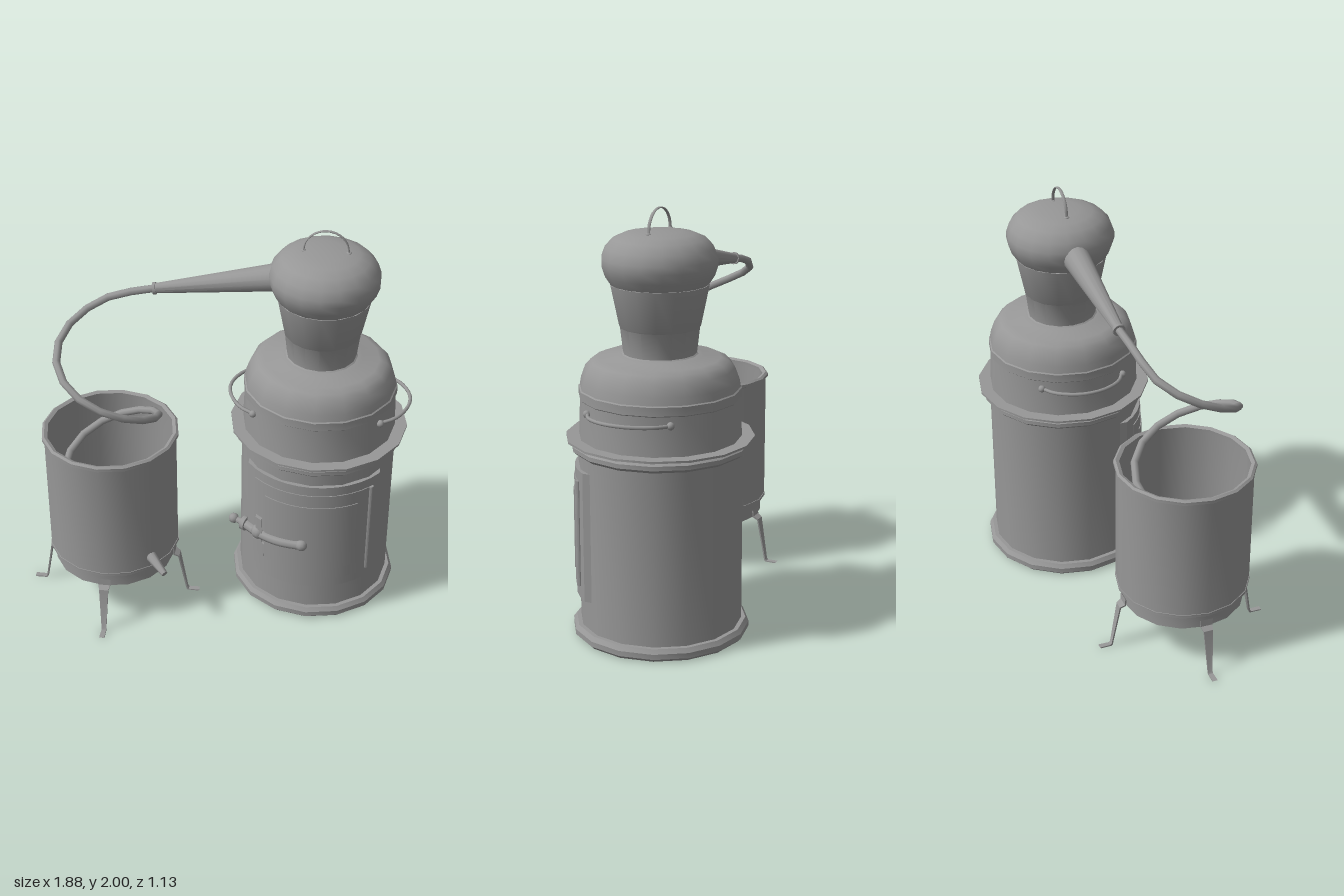
import * as THREE from 'three';
import { toCreasedNormals } from 'three/addons/utils/BufferGeometryUtils.js';

const material = new THREE.MeshStandardMaterial({ color: 0x979797, side: THREE.DoubleSide });
const V = (x, y, z) => new THREE.Vector3(x, y, z);

function add(parent, name, geometry, crease = 0.6) {
  const mesh = new THREE.Mesh(crease ? toCreasedNormals(geometry, crease) : geometry, material);
  mesh.name = name;
  parent.add(mesh);
  return mesh;
}

// Turned part from [radius, height] pairs
function turned(parent, name, profile, sides = 16) {
  const points = profile.map(([r, y]) => new THREE.Vector2(r, y));
  return add(parent, name, new THREE.LatheGeometry(points, sides));
}

function tube(parent, name, points, radius, steps, sides = 8) {
  return add(parent, name, new THREE.TubeGeometry(new THREE.CatmullRomCurve3(points), steps, radius, sides), 0);
}

// Straight, optionally tapered rod between two points
function rod(parent, name, a, b, ra, rb = ra, sides = 12) {
  const dir = b.clone().sub(a);
  const mesh = add(parent, name, new THREE.CylinderGeometry(rb, ra, dir.length(), sides));
  mesh.position.copy(a).add(b).multiplyScalar(0.5);
  mesh.quaternion.setFromUnitVectors(V(0, 1, 0), dir.normalize());
  return mesh;
}

function ball(parent, name, p, r) {
  const mesh = add(parent, name, new THREE.SphereGeometry(r, 10, 8), 0);
  mesh.position.copy(p);
  return mesh;
}

// Slab curved round the furnace, between two x positions and two heights, with sides cut straight back
function curvedPanel(parent, name, r, x0, x1, y0, y1) {
  const n = 12;
  const arc = (radius) => {
    const a0 = Math.asin(x0 / radius), a1 = Math.asin(x1 / radius);
    return Array.from({ length: n + 1 }, (_, i) => {
      const a = a0 + (a1 - a0) * i / n;
      return new THREE.Vector2(radius * Math.sin(a), -radius * Math.cos(a));
    });
  };
  const shape = new THREE.Shape([...arc(r), ...arc(0.365).reverse()]);
  const geo = new THREE.ExtrudeGeometry(shape, { depth: y1 - y0, bevelEnabled: false });
  geo.rotateX(-Math.PI / 2);
  add(parent, name, geo).position.y = y0;
}

function buildStill() {
  const still = new THREE.Group();
  still.name = 'still';
  still.position.set(0.485, 0, -0.131);

  // Furnace, hollow underneath, with rolled rings at foot and top
  turned(still, 'furnace', [[0, 0.16], [0.36, 0.16], [0.36, 0.01], [0.40, 0], [0.415, 0.015], [0.415, 0.04],
    [0.40, 0.06], [0.38, 0.06], [0.38, 0.885], [0.395, 0.89], [0.412, 0.905], [0.412, 0.925], [0.395, 0.94],
    [0.37, 0.945]]);
  turned(still, 'flange', [[0.36, 0.945], [0.435, 0.945], [0.435, 0.955], [0.36, 0.955]]);

  // Pot and its domed shoulder
  turned(still, 'pot', [[0.375, 0.95], [0.368, 1.135], [0.374, 1.14], [0.374, 1.18], [0.368, 1.185], [0.362, 1.22],
    [0.342, 1.275], [0.315, 1.305], [0.28, 1.32], [0.2, 1.328], [0.185, 1.335], [0.15, 1.335]]);

  // Flared neck and bulbous head
  turned(still, 'neck', [[0.19, 1.325], [0.168, 1.34], [0.182, 1.46], [0.186, 1.465], [0.225, 1.655], [0.2, 1.66]]);
  turned(still, 'head', [[0.2, 1.652], [0.222, 1.656], [0.248, 1.695], [0.263, 1.74], [0.263, 1.775], [0.247, 1.82],
    [0.21, 1.86], [0.16, 1.882], [0.1, 1.892], [0, 1.896]], 18);

  // Strap handle on the head
  const arch = [];
  for (let i = 0; i <= 8; i++) {
    const a = Math.PI * i / 8;
    arch.push(V(-0.105 * Math.cos(a), 1.893 + 0.103 * Math.sin(a), 0));
  }
  tube(still, 'headHandle', arch, 0.004, 16).scale.z = 2;
  for (const s of [-1, 1]) ball(still, 'headHandleFoot', V(0.105 * s, 1.89, 0), 0.013).scale.y = 0.5;

  // Side handles on the pot
  for (const s of [-1, 1]) {
    tube(still, 'potHandle', [V(0.295 * s, 1.095, -0.21), V(0.37 * s, 1.1, -0.165), V(0.424 * s, 1.104, -0.08),
      V(0.44 * s, 1.106, 0), V(0.424 * s, 1.104, 0.08), V(0.37 * s, 1.1, 0.165), V(0.295 * s, 1.095, 0.21)], 0.009, 16);
    for (const z of [-0.21, 0.21]) ball(still, 'potHandleMount', V(0.305 * s, 1.097, z), 0.018);
  }

  // Fire door: frame, leaf, raised centre and hinge bar
  curvedPanel(still, 'doorFrame', 0.394, -0.32, 0.32, 0.2, 0.82);
  curvedPanel(still, 'doorLeaf', 0.398, -0.28, 0.28, 0.25, 0.77);
  curvedPanel(still, 'doorCentre', 0.402, -0.225, 0.225, 0.32, 0.7);
  rod(still, 'doorHinge', V(0.283, 0.26, 0.275), V(0.283, 0.77, 0.275), 0.013);

  // Door latch: plate, keeper, lever and knob
  curvedPanel(still, 'latchPlate', 0.408, -0.285, -0.225, 0.32, 0.4);
  curvedPanel(still, 'latchKeeper', 0.415, -0.272, -0.24, 0.34, 0.55);
  tube(still, 'latchLever', [V(-0.32, 0.43, 0.235), V(-0.25, 0.445, 0.31), V(-0.15, 0.455, 0.37),
    V(-0.03, 0.465, 0.4)], 0.025, 10);
  ball(still, 'latchLeverEnd', V(-0.035, 0.466, 0.4), 0.03);
  ball(still, 'latchPivot', V(-0.255, 0.45, 0.3), 0.04);
  rod(still, 'latchStem', V(-0.3, 0.43, 0.24), V(-0.39, 0.43, 0.19), 0.024, 0.014);
  ball(still, 'latchKnob', V(-0.395, 0.432, 0.19), 0.026);
  rod(still, 'latchCollar', V(-0.325, 0.43, 0.226), V(-0.345, 0.43, 0.215), 0.038);
  return still;
}

function buildCooler() {
  const cooler = new THREE.Group();
  cooler.name = 'cooler';
  cooler.position.set(-0.51, 0, 0.134);

  // Open vat with a stepped base and rolled rim
  turned(cooler, 'vat', [[0, 0.24], [0.304, 0.24], [0.304, 0.315], [0.325, 0.32], [0.325, 0.965], [0.336, 0.97],
    [0.336, 0.985], [0.325, 0.993], [0.308, 0.985], [0.31, 0.965], [0.31, 0.335], [0.29, 0.32], [0.29, 0.26], [0, 0.26]]);
  turned(cooler, 'baseBand', [[0.3, 0.315], [0.328, 0.32], [0.328, 0.335], [0.3, 0.34]]);

  // Four strap legs, tapering down to turned-out feet
  const path = [[0.305, 0.28], [0.307, 0.245], [0.33, 0.23], [0.369, 0.01], [0.375, 0.003], [0.43, 0.003]];
  const widths = [0.032, 0.03, 0.023, 0.012, 0.012, 0.013];
  for (let k = 0; k < 4; k++) {
    const pos = [], index = [];
    path.forEach(([r, y], i) => {
      const w = widths[i], t = 0.003;
      pos.push(r - t, y - t, -w, r - t, y - t, w, r + t, y + t, w, r + t, y + t, -w);
      for (let j = 0; i && j < 4; j++) {
        const a = (i - 1) * 4 + j, b = (i - 1) * 4 + (j + 1) % 4;
        index.push(a, b, a + 4, b, b + 4, a + 4);
      }
    });
    const e = (path.length - 1) * 4;
    index.push(0, 2, 1, 0, 3, 2, e, e + 1, e + 2, e, e + 2, e + 3);
    const geo = new THREE.BufferGeometry();
    geo.setAttribute('position', new THREE.Float32BufferAttribute(pos, 3));
    geo.setIndex(index);
    add(cooler, 'leg', geo).rotation.y = k * Math.PI / 2;
  }

  // Outlet spout
  rod(cooler, 'spout', V(0.2, 0.4, 0.2), V(0.305, 0.35, 0.305), 0.032, 0.016);
  return cooler;
}

export function createModel() {
  const model = new THREE.Group();
  model.name = 'distillery';
  model.add(buildStill(), buildCooler());

  // Tapered vapour arm with its joint
  const joint = V(-0.32, 1.637, -0.124);
  rod(model, 'vapourArm', V(0.3, 1.745, -0.131), joint, 0.07, 0.024, 16);
  rod(model, 'armJoint', joint.clone().add(V(-0.006, -0.001, 0)), joint.clone().add(V(0.008, 0.001, 0)), 0.03);

  // Condenser coil winding down into the vat and out to the spout
  const coil = [joint];
  const turns = 1.625, steps = 26;
  for (let i = 0; i <= steps; i++) {
    const a = 2 * Math.PI * turns * i / steps;
    coil.push(V(-0.51 - 0.238 * Math.sin(a), 1.598 - 0.69 * turns * i / steps, 0.134 - 0.238 * Math.cos(a)));
  }
  coil.push(V(-0.3, 0.4, 0.34));
  tube(model, 'condenserCoil', coil, 0.019, 26);
  return model;
}
